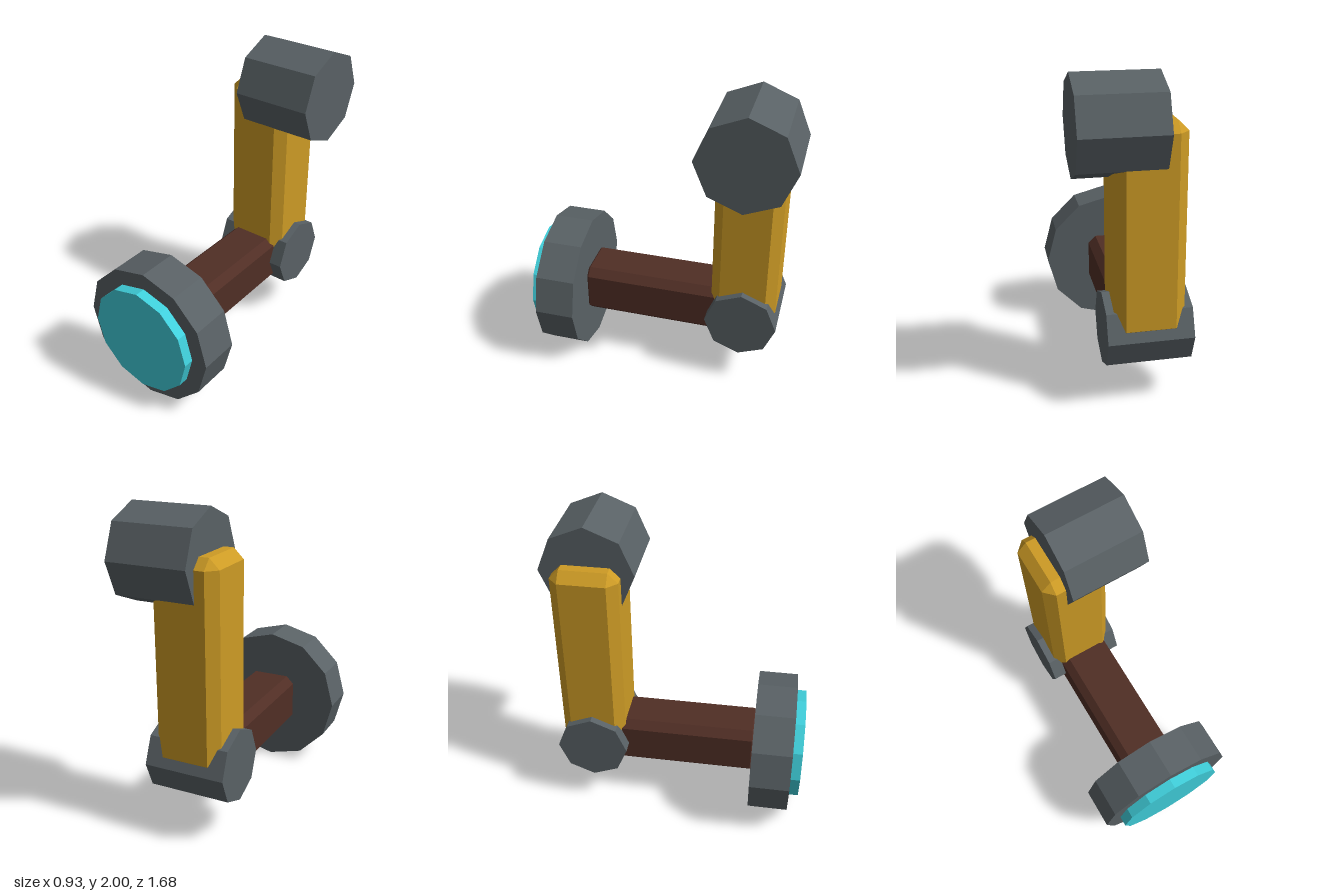
import * as THREE from 'three';
import { ConvexGeometry } from 'three/addons/geometries/ConvexGeometry.js';

const material = (name, color) => {
  const m = new THREE.MeshStandardMaterial({ color, flatShading: true });
  m.name = name;
  return m;
};

// Box with every edge cut by c: each corner becomes a small triangle.
function chamferedBox(w, h, d, c) {
  const points = [];
  for (const x of [-w / 2, w / 2])
    for (const y of [-h / 2, h / 2])
      for (const z of [-d / 2, d / 2]) {
        const sx = Math.sign(x) * c, sy = Math.sign(y) * c, sz = Math.sign(z) * c;
        points.push(
          new THREE.Vector3(x, y - sy, z - sz),
          new THREE.Vector3(x - sx, y, z - sz),
          new THREE.Vector3(x - sx, y - sy, z)
        );
      }
  return new ConvexGeometry(points);
}

// Faceted drum lying along the x or z axis, with a corner at the top.
function drum(radius, length, sides, axis) {
  const g = new THREE.CylinderGeometry(radius, radius, length, sides);
  return axis === 'x' ? g.rotateZ(Math.PI / 2) : g.rotateX(Math.PI / 2);
}

export function createModel() {
  const group = new THREE.Group();
  group.name = 'jointedArm';

  const grey = material('slate grey', 0x596165);
  const yellow = material('ochre yellow', 0xcd9b25);
  const brown = material('dark brown', 0x502e25);
  const cyan = material('cyan', 0x40d0dc);

  const add = (name, geometry, mat, x, y, z) => {
    const mesh = new THREE.Mesh(geometry, mat);
    mesh.name = name;
    mesh.position.set(x, y, z);
    group.add(mesh);
  };

  // Front disc and its bright face
  add('headDisc', drum(0.465, 0.255, 12, 'z'), grey, 0, 0.47, 0.648);
  add('headFace', drum(0.36, 0.085, 12, 'z'), cyan, 0, 0.47, 0.798);

  // Lower arm, running back into the elbow
  add('lowerArm', chamferedBox(0.34, 0.34, 1.06, 0.05), brown, 0, 0.47, 0.03);

  // Elbow joint, upright arm and shoulder drum
  add('elbowJoint', drum(0.232, 0.514, 8, 'x'), grey, 0, 0.47, -0.543);
  add('upperArm', chamferedBox(0.42, 1.28, 0.42, 0.062), yellow, 0, 1.11, -0.543);
  add('shoulderDrum', drum(0.296, 0.505, 8, 'x'), grey, 0.168, 1.704, -0.543);

  return group;
}
